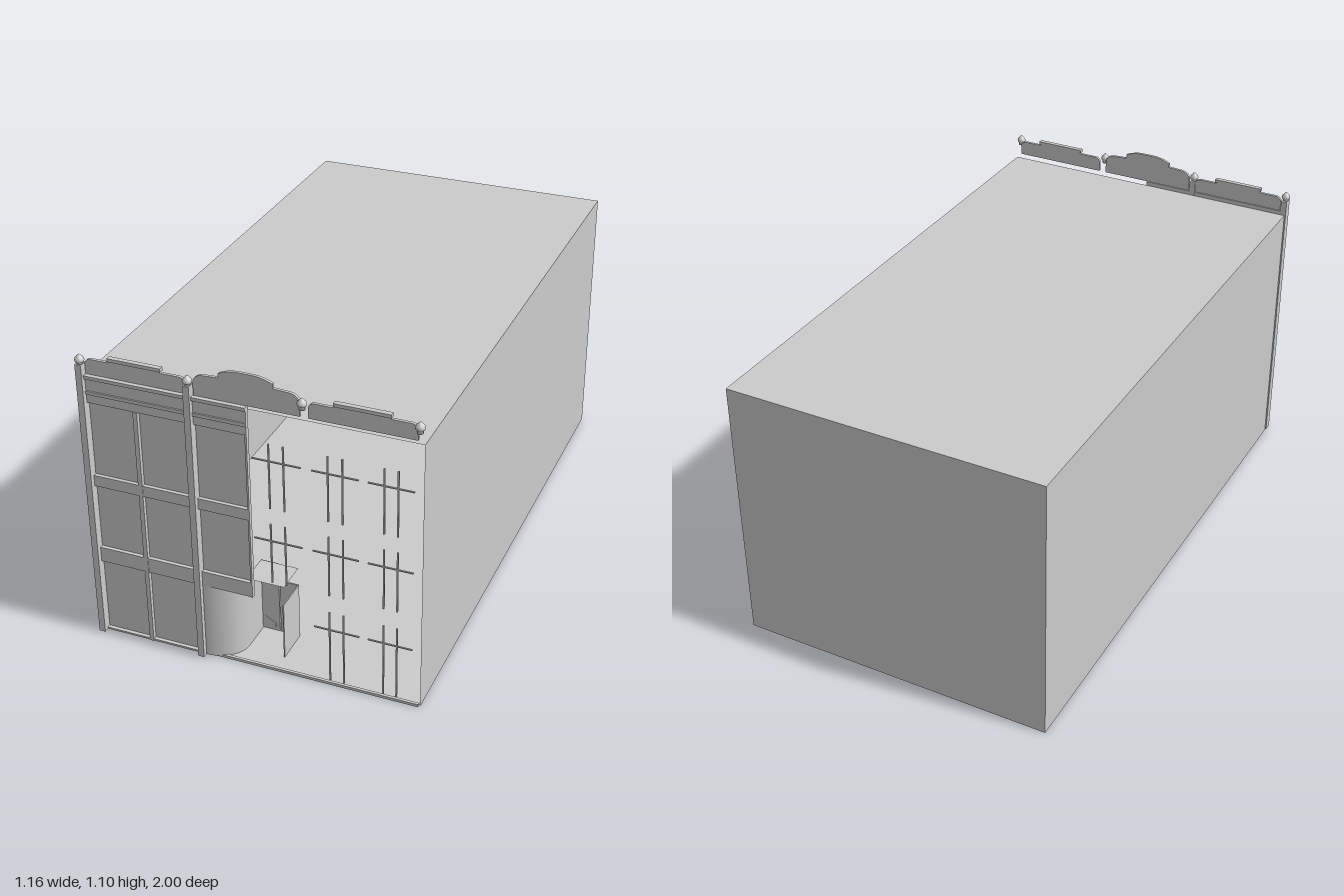
import * as THREE from 'three';

const grey = new THREE.MeshStandardMaterial({ color: 0xcccccc, side: THREE.DoubleSide });

export function createModel() {
  const model = new THREE.Group();

  const add = (name, geometry) => {
    const mesh = new THREE.Mesh(geometry, grey);
    mesh.name = name;
    model.add(mesh);
    return mesh;
  };
  // Box given by its limits on each axis
  const block = (name, x0, x1, y0, y1, z0, z1) => {
    const mesh = add(name, new THREE.BoxGeometry(x1 - x0, y1 - y0, z1 - z0));
    mesh.position.set((x0 + x1) / 2, (y0 + y1) / 2, (z0 + z1) / 2);
  };
  // Flat sheet with a centre and a rotation
  const sheet = (name, w, h, x, y, z, rx = 0, ry = 0) => {
    const mesh = add(name, new THREE.PlaneGeometry(w, h));
    mesh.position.set(x, y, z);
    mesh.rotation.set(rx, ry, 0);
  };

  // Building shell, open at the front
  const W = 1.14, top = 0.975, back = -1, front = 0.965;
  const depth = front - back, midZ = (front + back) / 2;
  sheet('roof', W, depth, 0, top, midZ, -Math.PI / 2);
  sheet('floor', W, depth, 0, 0.006, midZ, -Math.PI / 2);
  sheet('backWall', W, top, 0, top / 2, back, 0, Math.PI);
  for (const s of [-1, 1]) sheet('sideWall', depth, top, s * W / 2, top / 2, midZ, 0, s * Math.PI / 2);
  block('floorSlab', -0.57, 0.565, 0, 0.005, -0.19, 0.97);
  block('frontSill', -0.57, 0.565, 0, 0.01, 0.96, 0.97);

  // Window bars, three columns on each half; the entrance replaces the lowest middle ones
  const columns = [[0.005, 0.17, 0.063, 0.112], [0.205, 0.36, 0.259, 0.307], [0.39, 0.54, 0.443, 0.488]];
  const rows = [[0.63, 0.865, 0.803], [0.35, 0.573, 0.509], [0.015, 0.285, 0.216]];
  for (const side of [-1, 1]) {
    columns.forEach(([x0, x1, ...bars], c) => rows.forEach(([y0, y1, yBar], r) => {
      if (c === 0 && r === 2) return;
      const a = Math.min(side * x0, side * x1), b = Math.max(side * x0, side * x1);
      block('windowCrossbar', a, b, yBar - 0.002, yBar + 0.002, 0.96, 0.965);
      for (const x of bars) block('windowMullion', side * x - 0.0025, side * x + 0.0025, y0, y1, 0.96, 0.965);
    }));
  }

  // Recessed panels behind the left half of the frontage
  sheet('bayPanel', 0.36, 0.985, -0.375, 0.4925, 0.967);
  sheet('middleBayPanel', 0.19, 0.70, -0.095, 0.635, 0.967);

  // Raised frame: posts, rails and cornice mouldings
  block('bayPost', -0.391, -0.376, 0.005, 0.89, 0.966, 0.982);
  block('endPost', -0.006, 0, 0.285, 0.985, 0.966, 0.982);
  block('kickRail', -0.553, -0.2, 0.005, 0.012, 0.966, 0.98);
  for (const [x0, x1] of [[-0.553, -0.2], [-0.18, 0]]) {
    for (const [y0, y1] of [[0.285, 0.34], [0.58, 0.62], [0.89, 0.985]])
      block('rail', x0, x1, y0, y1, 0.966, 0.98);
    block('lowerMoulding', x0, x1, 0.922, 0.934, 0.97, 0.985);
    block('upperMoulding', x0, x1, 0.978, 0.99, 0.966, 0.988);
  }

  // Pilasters and the finials along the skyline
  for (const [x0, x1] of [[-0.575, -0.553], [-0.202, -0.18]])
    block('pilaster', x0, x1, 0.005, 1.03, 0.965, 0.998);
  const finial = [[0, 1.024], [0.01, 1.024], [0.01, 1.034], [0.014, 1.037], [0.016, 1.043],
    [0.014, 1.05], [0.009, 1.055], [0.005, 1.06], [0, 1.064]].map(p => new THREE.Vector2(...p));
  for (const x of [-0.564, -0.191, 0.188, 0.561])
    add('finial', new THREE.LatheGeometry(finial, 16)).position.set(x, 0, 0.984);

  // Parapets: low rounded wings with a cap rail, and an arched centrepiece
  const parapet = (name, shape, x) => add(name, new THREE.ExtrudeGeometry(shape,
    { depth: 0.01, bevelEnabled: false, curveSegments: 8 })).position.set(x, 0, 0.966);
  const wing = new THREE.Shape();
  wing.moveTo(-0.174, 0.992);
  wing.lineTo(0.174, 0.992);
  wing.lineTo(0.174, 1.03);
  wing.quadraticCurveTo(0.17, 1.046, 0.15, 1.046);
  wing.lineTo(0.092, 1.046);
  wing.lineTo(0.075, 1.052);
  wing.lineTo(-0.075, 1.052);
  wing.lineTo(-0.092, 1.046);
  wing.lineTo(-0.15, 1.046);
  wing.quadraticCurveTo(-0.17, 1.046, -0.174, 1.03);
  for (const x of [-0.377, 0.378]) {
    parapet('sideParapet', wing, x);
    block('parapetCap', x - 0.092, x + 0.092, 1.051, 1.063, 0.963, 0.98);
  }
  const crest = new THREE.Shape();
  crest.moveTo(-0.177, 0.992);
  crest.lineTo(0.177, 0.992);
  crest.lineTo(0.177, 1.045);
  crest.quadraticCurveTo(0.165, 1.067, 0.14, 1.067);
  crest.lineTo(0.09, 1.07);
  crest.lineTo(0.09, 1.085);
  crest.quadraticCurveTo(0.055, 1.101, 0.025, 1.101);
  crest.lineTo(-0.025, 1.101);
  crest.quadraticCurveTo(-0.055, 1.101, -0.09, 1.085);
  crest.lineTo(-0.09, 1.07);
  crest.lineTo(-0.14, 1.067);
  crest.quadraticCurveTo(-0.165, 1.067, -0.177, 1.045);
  parapet('centreParapet', crest, 0);

  // Curved wall sweeping into the entrance
  const curve = new THREE.CylinderGeometry(1, 1, 0.28, 16, 1, true, 0, Math.PI / 2);
  curve.scale(0.115, 1, 0.095);
  add('curvedEntranceWall', curve).position.set(-0.18, 0.145, 0.885);

  // Entrance recess with soffit, side wall and transom
  sheet('entranceSoffit', 0.135, 0.115, 0.0025, 0.284, 0.835, Math.PI / 2);
  sheet('entranceLeftWall', 0.11, 0.28, -0.065, 0.145, 0.83, 0, Math.PI / 2);
  block('entranceRightWall', 0.066, 0.07, 0.006, 0.216, 0.775, 0.9);
  sheet('transom', 0.065, 0.07, -0.0325, 0.25, 0.777);

  // Double doors with slanted kick plates
  for (const s of [-1, 1]) {
    block('doorLeaf', s * 0.034 - 0.0325, s * 0.034 + 0.0325, 0.008, 0.216, 0.774, 0.779);
    const plate = new THREE.Shape([[0.015, 0.022], [0.053, 0.022], [0.053, 0.06], [0.015, 0.038]]
      .map(([x, y]) => new THREE.Vector2(s * x, y)));
    add('kickPlate', new THREE.ExtrudeGeometry(plate, { depth: 0.003, bevelEnabled: false })).position.z = 0.779;
  }
  return model;
}
